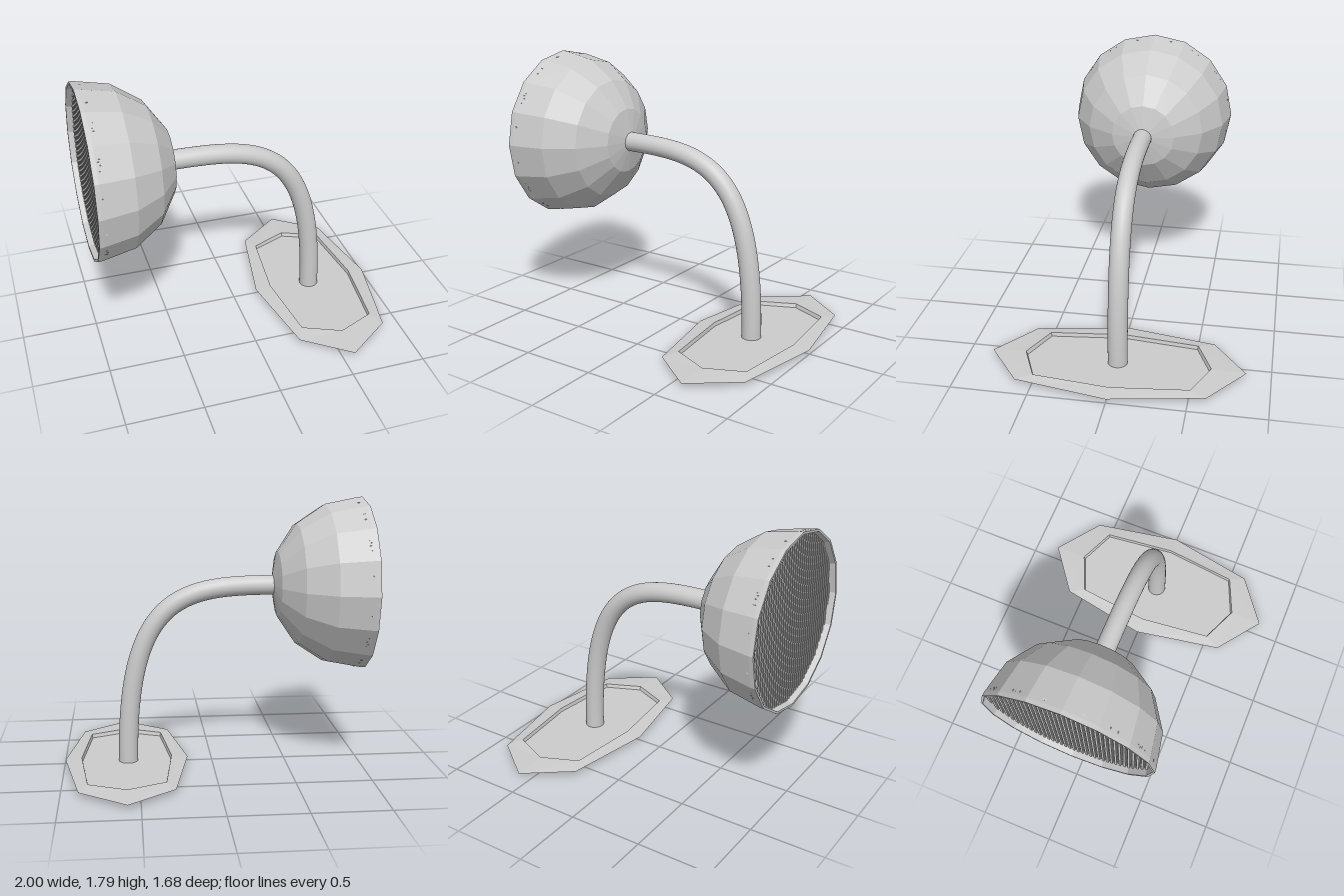
import * as THREE from 'three';

const grey = (extra = {}) => new THREE.MeshStandardMaterial({ color: 0xcccccc, ...extra });

function addMesh(group, name, geometry, material) {
  const mesh = new THREE.Mesh(geometry, material);
  mesh.name = name;
  group.add(mesh);
  return mesh;
}

// Elongated eight-sided ring: x and z half-sizes, then the diagonal corner
function octagon(y, rx, rz, dx, dz) {
  return [[rx, 0], [dx, dz], [0, rz], [-dx, dz], [-rx, 0], [-dx, -dz], [0, -rz], [dx, -dz]]
    .map(([x, z]) => [x, y, z]);
}

// Joins stacked rings into one closed skin, ordered from the bottom upward
function skinRings(rings) {
  const n = rings[0].length;
  const index = [];
  for (let r = 0; r < rings.length - 1; r++) {
    for (let i = 0; i < n; i++) {
      const a = r * n + i, b = r * n + (i + 1) % n;
      index.push(a, a + n, b, b, a + n, b + n);
    }
  }
  const geometry = new THREE.BufferGeometry();
  geometry.setAttribute('position', new THREE.Float32BufferAttribute(rings.flat(2), 3));
  geometry.setIndex(index);
  return geometry;
}

export function createModel() {
  const lamp = new THREE.Group();
  lamp.name = 'lamp';

  // Foot plate: knife-edged octagon with a shallow sunken floor
  const plate = skinRings([
    octagon(0.004, 0, 0, 0, 0),
    octagon(0.01, 0.305, 0.615, 0.25, 0.505),
    octagon(0.03, 0.415, 0.84, 0.305, 0.61),
    octagon(0.042, 0.305, 0.615, 0.25, 0.505),
    octagon(0.016, 0.3, 0.605, 0.245, 0.5),
    octagon(0.016, 0, 0, 0, 0),
  ]);
  addMesh(lamp, 'footPlate', plate, grey({ flatShading: true, side: THREE.DoubleSide }))
    .position.x = 0.582;

  // Curved arm from the foot up to the back of the shade
  const path = new THREE.CubicBezierCurve3(
    new THREE.Vector3(0.57, 0.01, 0),
    new THREE.Vector3(0.57, 1.2, 0),
    new THREE.Vector3(0.18, 1.215, 0),
    new THREE.Vector3(-0.43, 1.215, 0));
  addMesh(lamp, 'arm', new THREE.TubeGeometry(path, 48, 0.065, 32), grey());

  // Shade: faceted hemisphere shell with a short straight rim, opening toward -x
  const head = new THREE.Group();
  head.name = 'head';
  head.position.set(-0.97, 1.22, 0);
  lamp.add(head);
  const profile = [];
  const arc = (radius, step) => {
    const a = step * Math.PI / 8;
    return new THREE.Vector2(radius * Math.cos(a), radius * Math.sin(a));
  };
  for (let i = 4; i >= 0; i--) profile.push(arc(0.555, i));
  profile.push(new THREE.Vector2(0.56, -0.03), new THREE.Vector2(0.575, -0.03));
  for (let i = 0; i <= 4; i++) profile.push(arc(0.573, i));
  const shade = new THREE.LatheGeometry(profile, 16);
  shade.rotateZ(-Math.PI / 2);
  addMesh(head, 'shade', shade, grey({ flatShading: true, side: THREE.DoubleSide }));

  // Fine wire grille across the opening, each wire trimmed to the circle
  const grille = new THREE.Group();
  grille.name = 'grille';
  grille.position.x = 0.015;
  head.add(grille);
  const wireMaterial = grey();
  const pitch = 0.03, radius = 0.555;
  for (let i = -18; i <= 18; i++) {
    const offset = i * pitch;
    const length = 2 * Math.sqrt(radius * radius - offset * offset);
    addMesh(grille, 'uprightWire', new THREE.BoxGeometry(0.012, length, 0.014), wireMaterial)
      .position.z = offset;
    addMesh(grille, 'crossWire', new THREE.BoxGeometry(0.012, 0.014, length), wireMaterial)
      .position.set(0.008, offset, 0);
  }

  return lamp;
}
